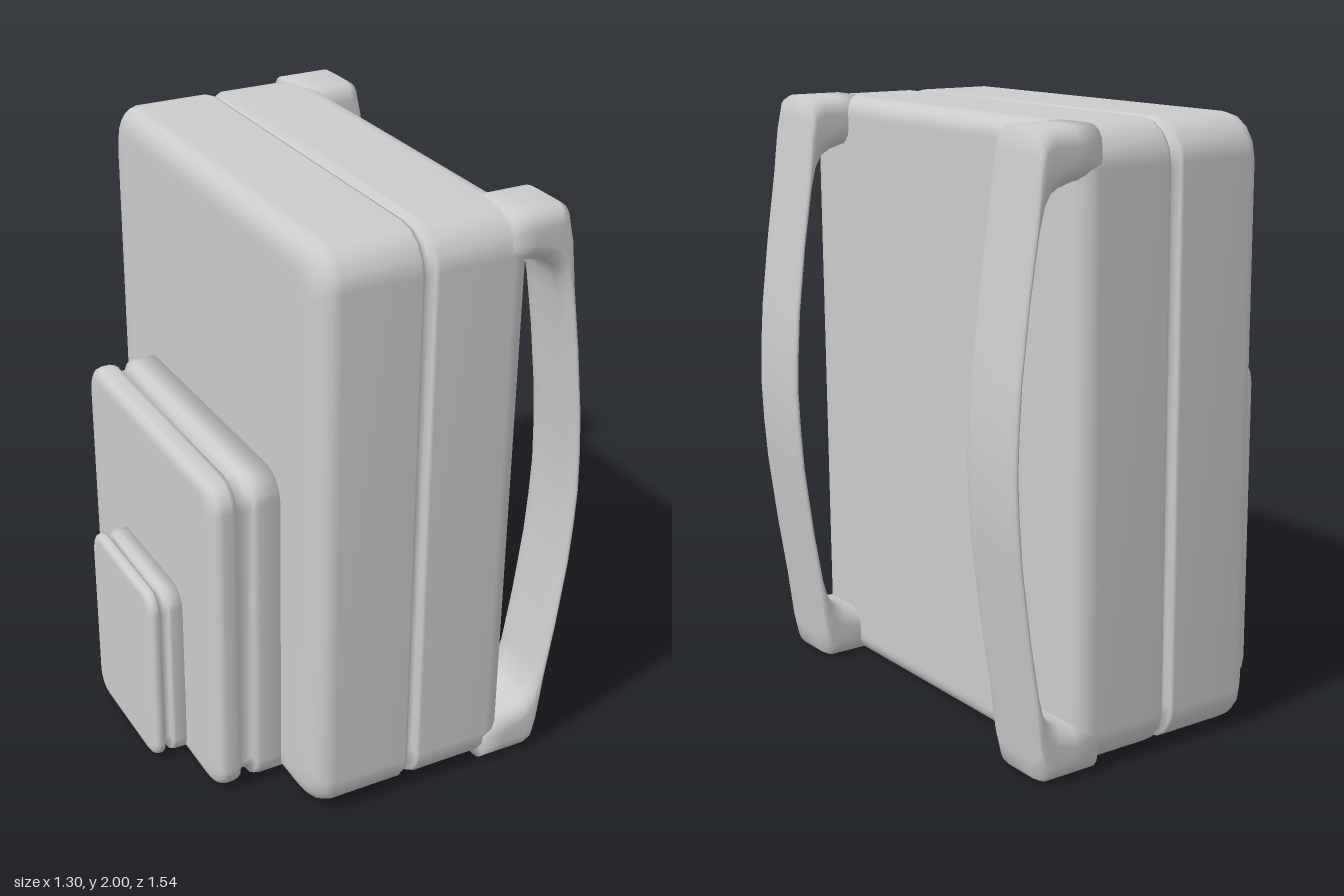
import * as THREE from 'three';

const material = new THREE.MeshStandardMaterial({ color: 0xcccccc });

// Rounded rectangle spanned by the x-y segment a-b and the z range z0..z1
function ring([ax, ay], [bx, by], z0, z1, radius) {
  const length = Math.hypot(bx - ax, by - ay);
  const width = z1 - z0;
  const ru = Math.min(radius, length * 0.45);
  const rv = Math.min(radius, width * 0.45);
  const corners = [[1, 1], [0, 1], [0, 0], [1, 0]];
  const steps = 4;
  const points = [];
  corners.forEach(([cu, cv], k) => {
    for (let i = 0; i <= steps; i++) {
      const t = (k + i / steps) * Math.PI / 2;
      const u = (cu ? length - ru : ru) + ru * Math.cos(t);
      const v = (cv ? width - rv : rv) + rv * Math.sin(t);
      const f = u / length;
      points.push(new THREE.Vector3(ax + (bx - ax) * f, ay + (by - ay) * f, z0 + v));
    }
  });
  return points;
}

// Smooth skin over a row of rings, closed at both ends
function loft(name, rings) {
  const n = rings[0].length;
  const positions = [];
  const index = [];
  rings.flat().forEach((p) => positions.push(p.x, p.y, p.z));
  for (let i = 0; i < rings.length - 1; i++) {
    for (let j = 0; j < n; j++) {
      const a = i * n + j;
      const b = i * n + (j + 1) % n;
      index.push(a, b, a + n, b, b + n, a + n);
    }
  }
  [0, rings.length - 1].forEach((i) => {
    const centre = positions.length / 3;
    const c = rings[i].reduce((s, p) => s.add(p), new THREE.Vector3()).divideScalar(n);
    positions.push(c.x, c.y, c.z);
    for (let j = 0; j < n; j++) {
      const a = i * n + j;
      const b = i * n + (j + 1) % n;
      if (i === 0) index.push(centre, b, a);
      else index.push(centre, a, b);
    }
  });
  const geometry = new THREE.BufferGeometry();
  geometry.setAttribute('position', new THREE.Float32BufferAttribute(positions, 3));
  geometry.setIndex(index);
  geometry.computeVertexNormals();
  const mesh = new THREE.Mesh(geometry, material);
  mesh.name = name;
  return mesh;
}

// Padded block lying along x with rounded ends and a seam groove around it
function paddedBlock(name, { x0, x1, top, halfDepth, corner, round, seam, seamDepth, roundEnd }) {
  const section = (x, inset) => ring(
    [x, inset * 0.8], [x, top - inset * 0.8],
    -halfDepth + inset, halfDepth - inset, Math.max(corner - inset * 0.3, 0.02));
  const [s0, s1] = seam;
  const lip = (s1 - s0) * 0.15;
  const rings = [section(x0, round * 1.35), section(x0, round)];
  const steps = 4;
  for (let i = 1; i <= steps; i++) {
    const t = i / steps * Math.PI / 2;
    rings.push(section(x0 + round * 0.7 * (1 - Math.cos(t)), round * (1 - Math.sin(t))));
  }
  // Seam
  rings.push(
    section(s0 - lip * 2, 0), section(s0, seamDepth * 0.15),
    section(s0 + lip, seamDepth), section(s1 - lip, seamDepth),
    section(s1, seamDepth * 0.15), section(s1 + lip * 2, 0));
  if (roundEnd) {
    for (let i = 0; i <= steps; i++) {
      const t = i / steps * Math.PI / 2;
      rings.push(section(x1 - roundEnd * (1 - Math.sin(t)), roundEnd * (1 - Math.cos(t))));
    }
    rings.push(section(x1, roundEnd * 1.35));
  } else {
    rings.push(section(x1, 0));
  }
  return loft(name, rings);
}

// Shoulder strap: thick lugs at both ends joined by a thin bowed band
function shoulderStrap(name, z0, z1) {
  const upper = [
    // inner point, outer point
    [[0.33, 1.84], [0.33, 2.0]],
    [[0.41, 1.835], [0.41, 2.0]],
    [[0.46, 1.82], [0.51, 2.0]],
    [[0.495, 1.8], [0.535, 1.985]],
    [[0.525, 1.75], [0.548, 1.92]],
    [[0.545, 1.68], [0.57, 1.74]],
    [[0.575, 1.5], [0.603, 1.52]],
    [[0.603, 1.27], [0.634, 1.28]],
    [[0.612, 1.13], [0.645, 1.14]],
  ];
  const flip = ([x, y]) => [x, 2 - y];
  const lower = upper.map(([a, b]) => [flip(a), flip(b)]).reverse();
  const path = [...upper, [[0.617, 1], [0.65, 1]], ...lower];
  return loft(name, path.map(([a, b]) => ring(a, b, z0, z1, 0.06)));
}

export function createModel() {
  const model = new THREE.Group();
  model.name = 'backpack';

  // Main bag
  model.add(paddedBlock('mainBag', {
    x0: -0.31, x1: 0.405, top: 2, halfDepth: 0.77, corner: 0.13,
    round: 0.1, seam: [0.03, 0.068], seamDepth: 0.03, roundEnd: 0.07,
  }));

  // Stepped pockets on the outer face
  model.add(paddedBlock('largePocket', {
    x0: -0.54, x1: -0.28, top: 1.17, halfDepth: 0.515, corner: 0.09,
    round: 0.05, seam: [-0.458, -0.4], seamDepth: 0.028, roundEnd: 0,
  }));
  model.add(paddedBlock('smallPocket', {
    x0: -0.655, x1: -0.52, top: 0.665, halfDepth: 0.255, corner: 0.07,
    round: 0.028, seam: [-0.617, -0.588], seamDepth: 0.024, roundEnd: 0,
  }));

  // Shoulder straps
  model.add(shoulderStrap('frontStrap', 0.52, 0.77));
  model.add(shoulderStrap('backStrap', -0.77, -0.52));
  return model;
}
